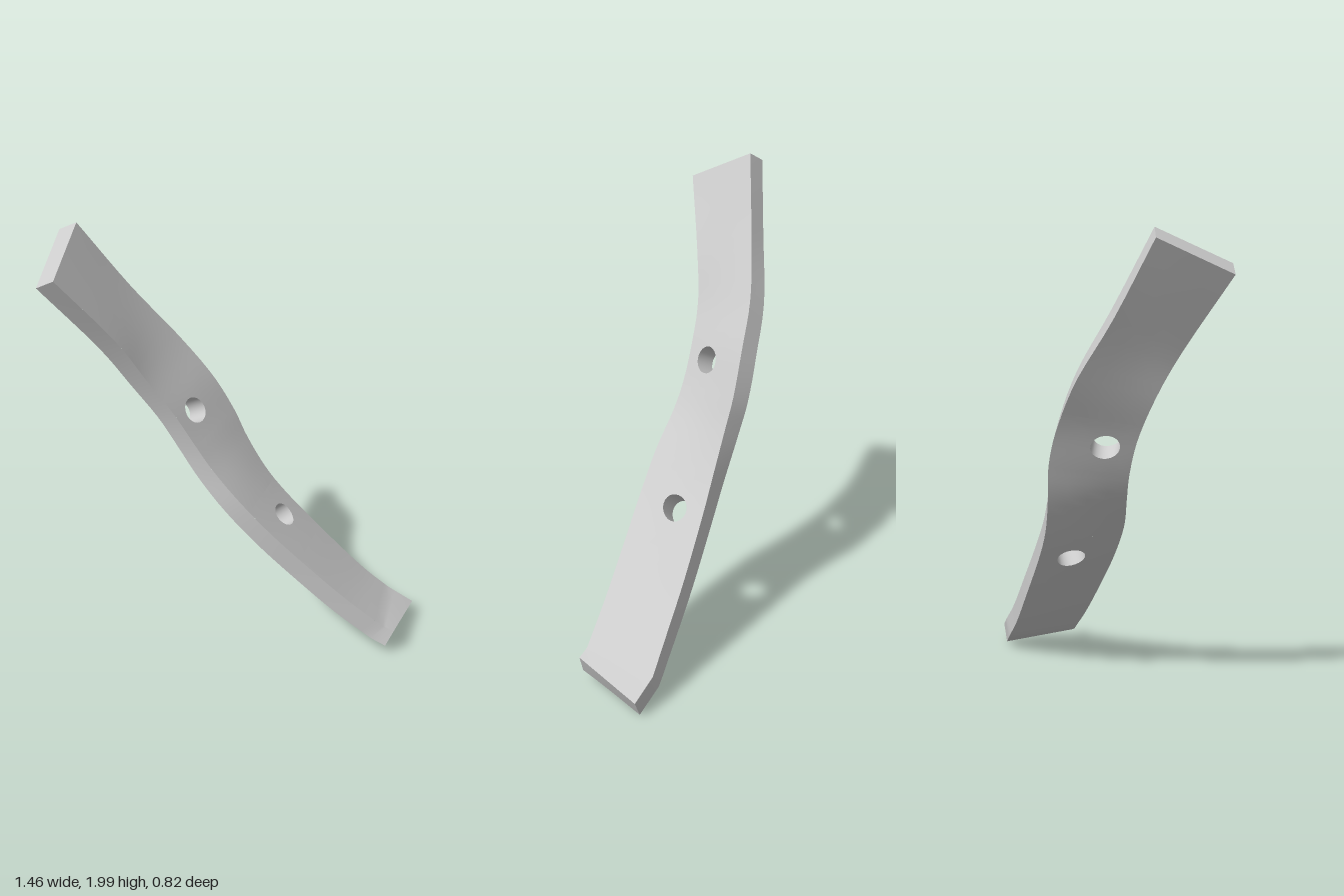
import * as THREE from 'three';
import { mergeGeometries, mergeVertices, toCreasedNormals } from 'three/addons/utils/BufferGeometryUtils.js';

// Outer-face edges of the twisted strap, from the top end to the bottom end
const frontEdge = [
  [-0.615, 1.87, 0.41], [-0.45, 1.575, 0.245], [-0.36, 1.38, 0.165], [-0.265, 1.22, 0.12],
  [-0.18, 1.07, 0.097], [-0.10, 0.95, 0.09], [0.02, 0.81, 0.085], [0.16, 0.65, 0.057],
  [0.33, 0.47, 0.01], [0.49, 0.31, -0.035], [0.65, 0.17, -0.08], [0.70, 0.15, -0.085],
];
const backEdge = [
  [-0.65, 2.0, 0.11], [-0.49, 1.70, -0.025], [-0.34, 1.46, -0.14], [-0.205, 1.26, -0.20],
  [-0.115, 1.09, -0.23], [-0.05, 0.95, -0.235], [0.04, 0.79, -0.25], [0.15, 0.64, -0.28],
  [0.33, 0.43, -0.33], [0.49, 0.26, -0.37], [0.61, 0.15, -0.405], [0.725, 0.09, -0.412],
];
const THICKNESS = 0.09;
const END = 11, BEND = 10;

// Smooth curve down to the bend, then a straight tip
function makeEdge(list) {
  const pts = list.map((p) => new THREE.Vector3(...p));
  const curve = new THREE.CatmullRomCurve3(pts.slice(0, BEND + 1), false, 'catmullrom');
  return (u) => (u <= BEND
    ? curve.getPoint(Math.max(u, 0) / BEND)
    : pts[BEND].clone().lerp(pts[END], u - BEND));
}
const front = makeEdge(frontEdge), back = makeEdge(backEdge);

// Point in the strap: u along, v from front to back edge, d from outer to inner face
function strapPoint(u, v, d) {
  const at = (k) => front(k).lerp(back(k), v);
  const tangent = at(Math.min(u + 0.2, END)).sub(at(Math.max(u - 0.2, 0)));
  const across = back(u).sub(front(u));
  const inward = across.cross(tangent).normalize();
  return at(u).addScaledVector(inward, d * THICKNESS);
}

// Surface patch from a function of s and t, each 0 to 1
function patch(fn, ns, nt, flip = false) {
  const pos = [], index = [];
  for (let i = 0; i <= ns; i++) {
    for (let j = 0; j <= nt; j++) pos.push(...fn(i / ns, j / nt).toArray());
  }
  for (let i = 0; i < ns; i++) {
    for (let j = 0; j < nt; j++) {
      const a = i * (nt + 1) + j, b = a + nt + 1;
      if (flip) index.push(a, a + 1, b, b, a + 1, b + 1);
      else index.push(a, b, a + 1, b, b + 1, a + 1);
    }
  }
  const g = new THREE.BufferGeometry();
  g.setAttribute('position', new THREE.Float32BufferAttribute(pos, 3));
  g.setIndex(index);
  return g;
}

// Bolt holes: centre and radii in strap coordinates
const holes = [
  { u: 3.35, v: 0.36, ru: 0.32, rv: 0.18 },
  { u: 7.0, v: 0.57, ru: 0.245, rv: 0.18 },
];
const HALF = 0.7, SIDES = 24;

export function createModel() {
  const parts = [];

  // Plain stretches of both broad faces, between the hole patches
  const stops = [0, ...holes.flatMap((h) => [h.u - HALF, h.u + HALF]), BEND];
  const spans = [[BEND, END]];
  for (let i = 0; i < stops.length; i += 2) spans.push([stops[i], stops[i + 1]]);
  for (const [a, b] of spans) {
    const n = Math.ceil((b - a) * 4);
    for (const d of [0, 1]) {
      parts.push(patch((s, t) => strapPoint(a + (b - a) * s, t, d), n, 4, d === 1));
    }
  }

  // Rectangular patches around the holes, and the hole walls
  for (const h of holes) {
    const ring = (r, t, d) => {
      const c = Math.cos(t * Math.PI * 2), s = Math.sin(t * Math.PI * 2);
      const m = Math.max(Math.abs(c), Math.abs(s));
      const u = THREE.MathUtils.lerp(h.u + h.ru * c, h.u + HALF * c / m, r);
      const v = THREE.MathUtils.lerp(h.v + h.rv * s, 0.5 + 0.5 * s / m, r);
      return strapPoint(u, v, d);
    };
    for (const d of [0, 1]) parts.push(patch((s, t) => ring(s, t, d), 3, SIDES, d === 1));
    parts.push(patch((s, t) => ring(0, s, t), SIDES, 1));
  }

  // Narrow side faces and the two ends
  for (const v of [0, 1]) {
    parts.push(patch((s, t) => strapPoint(s * END, v, t), END * 4, 1, v === 0));
  }
  for (const u of [0, END]) {
    parts.push(patch((s, t) => strapPoint(u, s, t), 4, 1, u === END));
  }

  const geometry = toCreasedNormals(mergeVertices(mergeGeometries(parts), 1e-4), 0.4);
  const strap = new THREE.Mesh(geometry, new THREE.MeshStandardMaterial({ color: 0xcccccc }));
  strap.name = 'twistedStrap';

  const group = new THREE.Group();
  group.name = 'twistedBracket';
  group.add(strap);
  return group;
}
